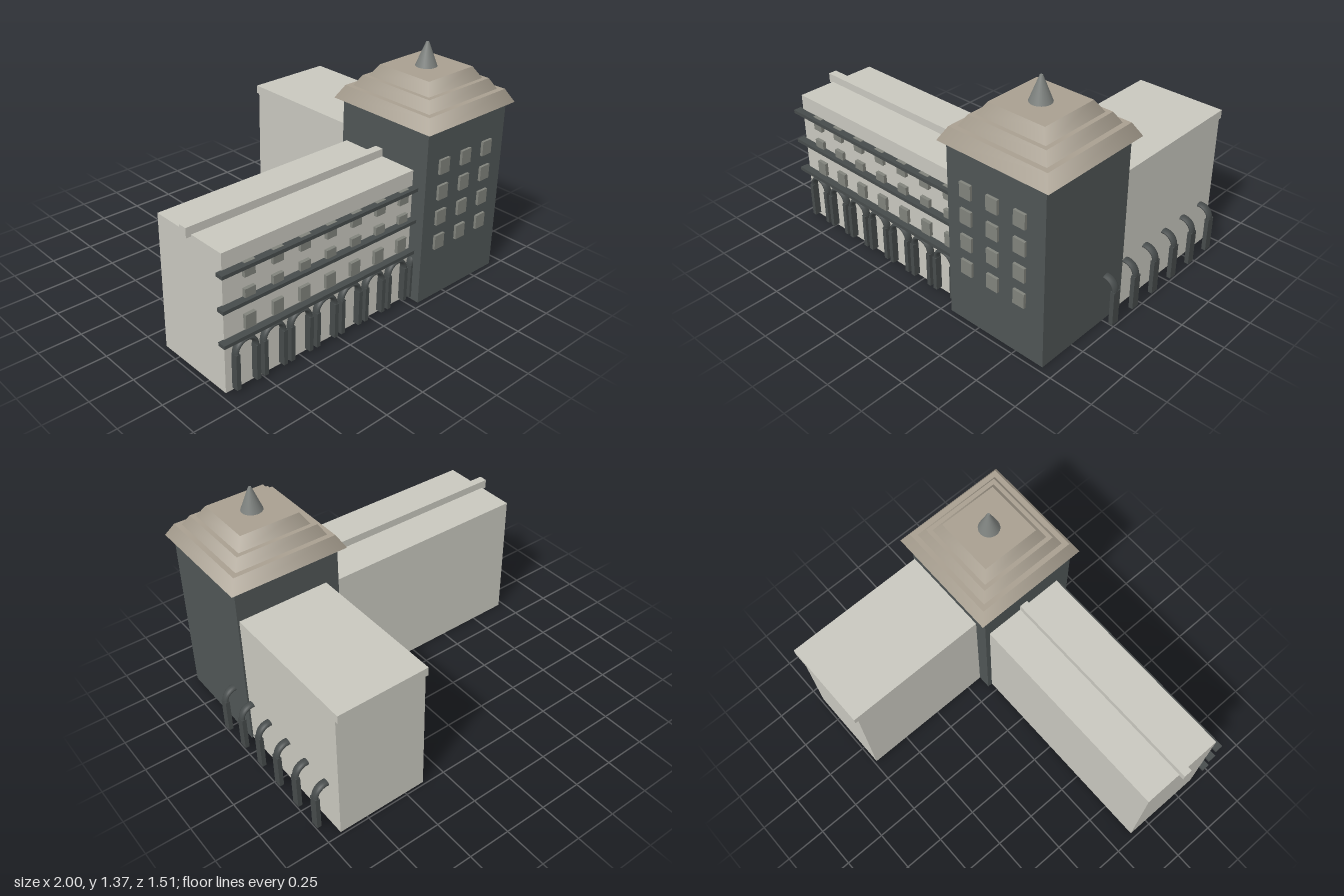
import * as THREE from 'three';

const mat = (color) => new THREE.MeshStandardMaterial({ color });

export function createModel() {
  const root = new THREE.Group();
  const stone = mat(0xc8c7be), slate = mat(0x4f5555), trim = mat(0x464b4b);
  const glass = mat(0x80827b), tile = mat(0xa89f90), metal = mat(0x7c807d);

  const add = (name, geometry, material, x, y, z, parent = root) => {
    const mesh = new THREE.Mesh(geometry, material);
    mesh.name = name;
    mesh.position.set(x, y, z);
    parent.add(mesh);
    return mesh;
  };
  // Box given by its minimum and maximum corners
  const block = (name, material, [x0, y0, z0], [x1, y1, z1]) =>
    add(name, new THREE.BoxGeometry(x1 - x0, y1 - y0, z1 - z0), material,
      (x0 + x1) / 2, (y0 + y1) / 2, (z0 + z1) / 2);

  // Main masses
  block('frontWing', stone, [-0.97, 0, 0.13], [0.4, 0.785, 0.63]);
  block('frontWingRidge', stone, [-1, 0.775, 0.355], [0.4, 0.83, 0.405]);
  block('sideWing', stone, [0.38, 0, -0.735], [0.915, 0.78, 0.2]);
  block('sideWingRoofSlab', stone, [0.38, 0.78, -0.755], [0.915, 0.83, 0.2]);
  block('tower', slate, [0.3, 0, 0.1], [0.925, 1.03, 0.72]);

  // Stepped tower roof: bottom half-width, top half-width, base height, top height
  const cx = 0.613, cz = 0.405;
  const tiers = [
    [0.347, 0.305, 1.03, 1.105],
    [0.275, 0.24, 1.105, 1.165],
    [0.215, 0.175, 1.165, 1.23],
  ];
  for (const [bottom, top, y0, y1] of tiers) {
    const g = new THREE.CylinderGeometry(top * Math.SQRT2, bottom * Math.SQRT2, y1 - y0, 4);
    g.rotateY(Math.PI / 4);
    add('roofTier', g, tile, cx, (y0 + y1) / 2, cz);
  }
  add('spire', new THREE.CylinderGeometry(0.008, 0.06, 0.135, 24), metal, cx, 1.2975, cz);

  // Balcony ledges and windows of the front wing
  for (const y of [0.303, 0.495, 0.685]) {
    block('ledge', trim, [-1, y - 0.01, 0.625], [0.35, y + 0.01, 0.672]);
  }
  const wingWindow = new THREE.BoxGeometry(0.065, 0.08, 0.03);
  for (const y of [0.367, 0.512, 0.657]) {
    for (let i = 0; i < 7; i++) {
      add('wingWindow', wingWindow, glass, -0.82 + i * 0.1735, y, 0.635);
    }
  }

  // Tower windows
  const towerWindow = new THREE.BoxGeometry(0.073, 0.084, 0.03);
  for (let row = 0; row < 4; row++) {
    for (let col = 0; col < 3; col++) {
      add('towerWindow', towerWindow, glass, 0.43 + col * 0.173, 0.35 + row * 0.152, 0.72);
    }
  }

  // Arches: two posts joined by a half ring
  const post = new THREE.BoxGeometry(0.025, 0.205, 0.048);
  const ring = new THREE.TorusGeometry(0.0625, 0.0125, 10, 20, Math.PI);
  ring.scale(1, 1, 1.92);
  const arch = (x, z) => {
    const group = new THREE.Group();
    group.name = 'arch';
    group.position.set(x, 0, z);
    for (const s of [-1, 1]) add('archPost', post, trim, s * 0.0625, 0.1175, 0, group);
    add('archRing', ring, trim, 0, 0.22, 0, group);
    root.add(group);
  };
  for (let i = 0; i < 8; i++) arch(-0.855 + i * 0.1735, 0.645);
  for (let i = 0; i < 6; i++) arch(0.925, 0.238 - i * 0.1735);

  return root;
}
